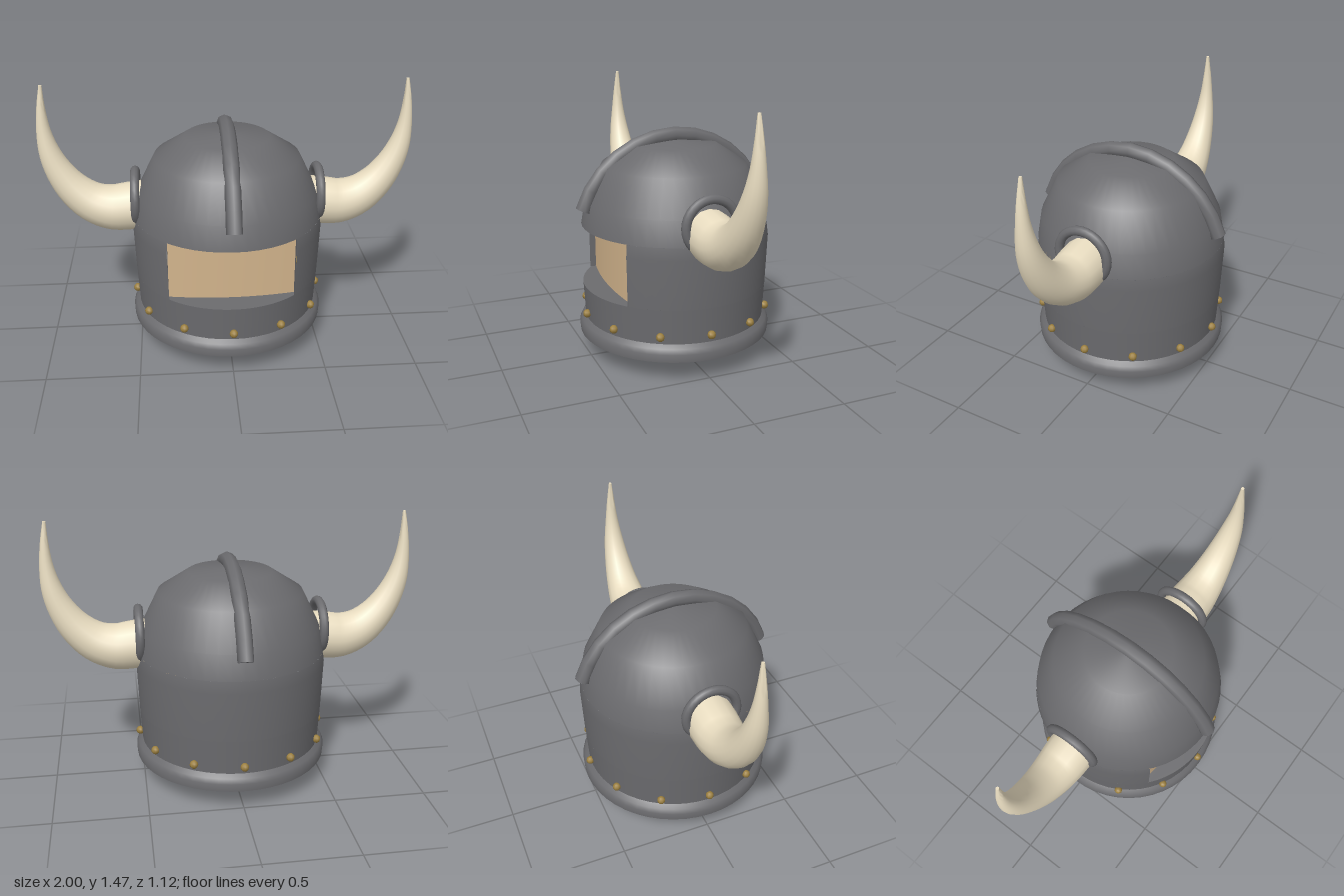
import * as THREE from 'three';
import { toCreasedNormals } from 'three/addons/utils/BufferGeometryUtils.js';

const steel = new THREE.MeshStandardMaterial({ color: 0x6b6b6e });
const steelThin = new THREE.MeshStandardMaterial({ color: 0x6b6b6e, side: THREE.DoubleSide });
const horn = new THREE.MeshStandardMaterial({ color: 0xe8dcc0 });
const skin = new THREE.MeshStandardMaterial({ color: 0xd2b48c, side: THREE.DoubleSide });
const brass = new THREE.MeshStandardMaterial({ color: 0x9c8040 });

function add(parent, name, geometry, material, x = 0, y = 0, z = 0) {
  const mesh = new THREE.Mesh(geometry, material);
  mesh.name = name;
  mesh.position.set(x, y, z);
  parent.add(mesh);
  return mesh;
}

const lathe = (points, start = 0, length = Math.PI * 2) =>
  new THREE.LatheGeometry(points.map(p => new THREE.Vector2(...p)), 48, start, length);

// Closed round tube whose radius follows the path: each point is [x, y, radius]
function taperedTube(points, rings, sides) {
  const path = new THREE.CatmullRomCurve3(points.map(p => new THREE.Vector3(p[0], p[1], 0)));
  const radii = new THREE.CatmullRomCurve3(points.map((p, i) => new THREE.Vector3(i, p[2], 0)));
  const pos = [], index = [];
  for (let i = 0; i <= rings; i++) {
    const t = i / rings;
    const c = path.getPoint(t), d = path.getTangent(t), r = radii.getPoint(t).y;
    for (let j = 0; j < sides; j++) {
      const a = (j / sides) * Math.PI * 2;
      pos.push(c.x - d.y * r * Math.cos(a), c.y + d.x * r * Math.cos(a), r * Math.sin(a));
      if (i < rings) {
        const k = i * sides + j, n = i * sides + (j + 1) % sides;
        index.push(k, n, k + sides, n, n + sides, k + sides);
      }
    }
  }
  // Caps
  const last = rings * sides;
  for (let j = 1; j < sides - 1; j++) {
    index.push(0, j + 1, j, last, last + j, last + j + 1);
  }
  const g = new THREE.BufferGeometry();
  g.setAttribute('position', new THREE.Float32BufferAttribute(pos, 3));
  g.setIndex(index);
  return toCreasedNormals(g, 0.9);
}

export function createModel() {
  const model = new THREE.Group();
  model.name = 'hornedHelmet';

  // Opening: half width, bottom, top, and its half angle on the shell
  const W = 0.335, Y0 = 0.40, Y1 = 0.735, A = Math.asin(W / 0.517);

  // Shell in three bands, the middle one left open at the front
  const shell = new THREE.Group();
  shell.name = 'shell';
  model.add(shell);
  add(shell, 'lowerShell', lathe([[0.502, 0.2], [0.513, Y0]]), steel);
  add(shell, 'middleShell', lathe([[0.513, Y0], [0.523, 0.67], [0.514, Y1]], A, 2 * (Math.PI - A)), steel);
  add(shell, 'upperShell', lathe([[0.514, Y1], [0.49, 0.87], [0.395, 1.063], [0.23, 1.17], [0, 1.193]]), steel);

  // Recess ledges and side walls around the face
  const faceZ = x => 0.36 + 0.03 * (1 - (x / W) ** 2);
  const ledge = new THREE.Shape();
  ledge.absarc(0, 0, 0.513, Math.PI / 2 - A, Math.PI / 2 + A, false);
  for (let i = 0; i <= 10; i++) {
    const x = -W + (2 * W * i) / 10;
    ledge.lineTo(x, faceZ(x));
  }
  for (const [name, y] of [['openingSill', Y0], ['openingLintel', Y1]]) {
    add(model, name, new THREE.ShapeGeometry(ledge, 24).rotateX(Math.PI / 2), steelThin, 0, y, 0);
  }
  for (const s of [-1, 1]) {
    add(model, 'openingSide', new THREE.PlaneGeometry(0.035, Y1 - Y0).rotateY(Math.PI / 2),
      steelThin, s * W, (Y0 + Y1) / 2, 0.377);
  }

  // Gently curved face panel
  const face = new THREE.PlaneGeometry(2 * W, Y1 - Y0, 12, 1);
  const fp = face.attributes.position;
  for (let i = 0; i < fp.count; i++) fp.setZ(i, faceZ(fp.getX(i)));
  face.computeVertexNormals();
  add(model, 'face', face, skin, 0, (Y0 + Y1) / 2, 0);

  // Rolled brim with closed underside, and neck peg
  add(model, 'brim', toCreasedNormals(lathe([[0, 0.107], [0.49, 0.107], [0.535, 0.122],
    [0.538, 0.165], [0.525, 0.19], [0.5, 0.212]]), 0.7), steel);
  add(model, 'neckPeg', toCreasedNormals(lathe([[0, 0], [0.105, 0], [0.112, 0.01], [0.118, 0.12]]), 0.5), steel);

  // Crest over the top, front to back
  const crest = [];
  for (let i = 0; i <= 12; i++) {
    const a = THREE.MathUtils.degToRad(18.5 + (143 * i) / 12);
    crest.push([0.55 * Math.cos(a), 0.665 + 0.55 * Math.sin(a), 0.042]);
  }
  add(model, 'crest', taperedTube(crest, 12, 8).rotateY(-Math.PI / 2), steel);

  // Horns with their socket rings
  const hornPath = [[0.44, 0.785, 0.133], [0.53, 0.775, 0.132], [0.63, 0.77, 0.125],
    [0.735, 0.805, 0.11], [0.83, 0.885, 0.092], [0.9, 0.99, 0.074], [0.943, 1.1, 0.057],
    [0.963, 1.22, 0.038], [0.965, 1.35, 0.022], [0.957, 1.465, 0.008]];
  const hornGeometry = taperedTube(hornPath, 32, 16);
  const ringGeometry = new THREE.TorusGeometry(0.14, 0.025, 10, 32).rotateY(Math.PI / 2);
  for (const side of ['left', 'right']) {
    const group = new THREE.Group();
    group.name = side + 'HornAssembly';
    group.rotation.y = side === 'left' ? 0 : Math.PI;
    add(group, side + 'Horn', hornGeometry, horn);
    add(group, side + 'HornRing', ringGeometry, steel, 0.5, 0.833, 0);
    model.add(group);
  }

  // Rivets around the lower edge
  const rivetGeometry = new THREE.SphereGeometry(0.023, 8, 6);
  for (let i = 0; i < 12; i++) {
    const a = (i * Math.PI) / 6;
    add(model, 'rivet', rivetGeometry, brass, 0.516 * Math.sin(a), 0.253, 0.516 * Math.cos(a));
  }
  return model;
}
